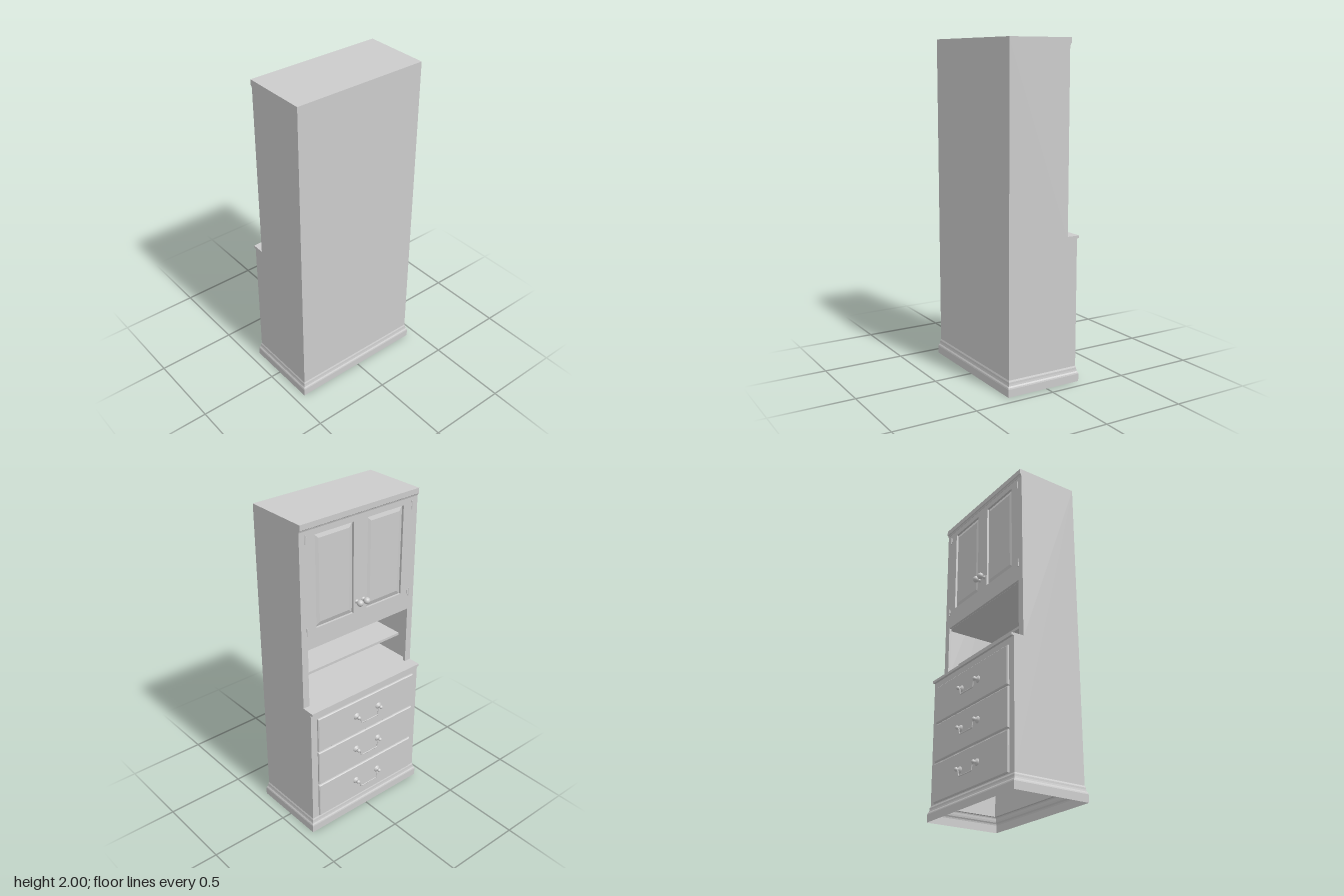
import * as THREE from 'three';

const mat = new THREE.MeshStandardMaterial({ color: 0xcccccc });
const sheetMat = new THREE.MeshStandardMaterial({ color: 0xcccccc, side: THREE.DoubleSide });

const W = 0.423, BACK = 0.246, UPPER = -0.146, LOWER = -0.212, WALL = 0.016;

function add(parent, name, geo, x = 0, y = 0, z = 0, material = mat) {
  const m = new THREE.Mesh(geo, material);
  m.name = name;
  m.position.set(x, y, z);
  parent.add(m);
  return m;
}

// Box given by its extents
function block(parent, name, x0, x1, y0, y1, z0, z1) {
  return add(parent, name, new THREE.BoxGeometry(x1 - x0, y1 - y0, z1 - z0),
    (x0 + x1) / 2, (y0 + y1) / 2, (z0 + z1) / 2);
}

const outline = (Type, pts) => new Type(pts.map(([a, b]) => new THREE.Vector2(a, b)));
const rect = (Type, x0, x1, y0, y1) => outline(Type, [[x0, y0], [x1, y0], [x1, y1], [x0, y1]]);

// Extrudes a [z, y] profile along x, starting at x = 0
function alongX(profile, length) {
  const shape = outline(THREE.Shape, profile.map(([z, y]) => [-z, y]));
  return new THREE.ExtrudeGeometry(shape, { depth: length, bevelEnabled: false }).rotateY(Math.PI / 2);
}

// Rectangular slab with chamfered edges, w and h being the outer size
function chamferedSlab(w, h, depth, size, thickness) {
  return new THREE.ExtrudeGeometry(rect(THREE.Shape, -w / 2, w / 2, -h / 2, h / 2), {
    depth, bevelEnabled: true, bevelSegments: 1,
    bevelSize: size, bevelOffset: -size, bevelThickness: thickness,
  });
}

// Turned part whose axis points out of the furniture's face (-z)
const turned = (pts) => new THREE.LatheGeometry(
  pts.map(([r, h]) => new THREE.Vector2(r, h)), 24).rotateX(-Math.PI / 2);

// Plinth moulding: mitred rectangular loops stacked up a profile of [offset, height]
function plinthGeometry() {
  const profile = [[0.014, 0], [0.014, 0.046], [0.012, 0.054], [0.007, 0.062],
    [0.005, 0.072], [0.004, 0.084], [0, 0.094]];
  const pos = [];
  const corners = (o, y) => [[-W - o, y, LOWER - o], [-W - o, y, BACK + o],
    [W + o, y, BACK + o], [W + o, y, LOWER - o]];
  for (let i = 0; i < profile.length - 1; i++) {
    const a = corners(...profile[i]), b = corners(...profile[i + 1]);
    for (let k = 0; k < 4; k++) {
      const n = (k + 1) % 4;
      pos.push(...a[k], ...a[n], ...b[n], ...a[k], ...b[n], ...b[k]);
    }
  }
  const g = new THREE.BufferGeometry();
  g.setAttribute('position', new THREE.Float32BufferAttribute(pos, 3));
  g.computeVertexNormals();
  return g;
}

// Drop handle: two rosettes with ball posts and a hanging bail
function dropHandle() {
  const g = new THREE.Group();
  g.name = 'drawerHandle';
  const post = turned([[0.021, 0], [0.02, 0.003], [0.014, 0.009], [0.007, 0.012], [0.006, 0.016]]);
  for (const s of [-1, 1]) {
    add(g, 'handleRosette', post, s * 0.088, 0, 0);
    add(g, 'handleBall', new THREE.SphereGeometry(0.012, 20, 14), s * 0.088, 0, -0.024);
  }
  const path = new THREE.CurvePath();
  const pts = [[-0.088, 0], [-0.072, -0.012], [-0.066, -0.042], [-0.056, -0.046],
    [0.056, -0.046], [0.066, -0.042], [0.072, -0.012], [0.088, 0]]
    .map(([x, y]) => new THREE.Vector3(x, y, -0.022));
  for (let i = 0; i < pts.length - 1; i++) path.add(new THREE.LineCurve3(pts[i], pts[i + 1]));
  add(g, 'handleBail', new THREE.TubeGeometry(path, 80, 0.0035, 8));
  return g;
}

export function createModel() {
  const root = new THREE.Group();
  root.name = 'hutchCabinet';

  // Carcass: stepped side walls, back and top
  const side = [[BACK, 0.09], [BACK, 2], [UPPER, 2], [UPPER, 0.87], [LOWER, 0.87], [LOWER, 0.09]];
  const sideGeo = alongX(side, WALL);
  add(root, 'rightSide', sideGeo, -W);
  add(root, 'leftSide', sideGeo, W - WALL);
  const inner = W - WALL;
  block(root, 'backPanel', -inner, inner, 0.09, 2, BACK - WALL, BACK);
  block(root, 'topPanel', -inner, inner, 1.98, 2, UPPER, BACK - WALL);

  // Counter, cupboard floor and open shelf
  block(root, 'counter', -inner, inner, 0.864, 0.88, UPPER, BACK - WALL);
  block(root, 'counterEdge', -W, W, 0.864, 0.88, -0.227, UPPER);
  block(root, 'cupboardFloor', -inner, inner, 1.25, 1.266, UPPER + WALL, BACK - WALL);
  block(root, 'openShelf', -inner, inner, 1.018, 1.034, -0.055, BACK - WALL);

  // Cornice
  add(root, 'cornice', alongX([[UPPER, 1.955], [UPPER, 2], [-0.157, 2], [-0.157, 1.968],
    [-0.152, 1.964], [-0.149, 1.955]], 2 * W), -W);

  // Upper face with two panel recesses and the open niche
  const PX0 = 0.05, PX1 = 0.318, PY0 = 1.37, PY1 = 1.92, STILE = 0.38;
  const face = outline(THREE.Shape, [[-W, 0.88], [-STILE, 0.88], [-STILE, 1.25], [STILE, 1.25],
    [STILE, 0.88], [W, 0.88], [W, 1.98], [-W, 1.98]]);
  face.holes.push(rect(THREE.Path, PX0, PX1, PY0, PY1), rect(THREE.Path, -PX1, -PX0, PY0, PY1));
  add(root, 'upperFace', new THREE.ExtrudeGeometry(face, { depth: WALL, bevelEnabled: false }), 0, 0, UPPER - 0.001);

  // Raised door panels, knobs and hinges
  const panelGeo = chamferedSlab(PX1 - PX0, PY1 - PY0, 0.002, 0.028, 0.01);
  const knobGeo = turned([[0.013, 0], [0.012, 0.003], [0.007, 0.006], [0.007, 0.014]]);
  for (const s of [-1, 1]) {
    add(root, 'doorPanel', panelGeo, s * (PX0 + PX1) / 2, (PY0 + PY1) / 2, UPPER + 0.013);
    add(root, 'knobStem', knobGeo, s * 0.025, 1.435, UPPER - 0.001);
    add(root, 'knob', new THREE.SphereGeometry(0.02, 28, 18), s * 0.025, 1.435, -0.177);
    for (const y of [1.363, 1.907]) {
      block(root, 'hingePlate', s * 0.376 - 0.007, s * 0.376 + 0.007, y - 0.014, y + 0.014, UPPER - 0.003, UPPER);
      add(root, 'hingeBarrel', new THREE.CylinderGeometry(0.004, 0.004, 0.05, 12), s * 0.382, y, UPPER - 0.002);
    }
  }

  // Lower face with three drawer fronts
  block(root, 'lowerFace', -inner, inner, 0.09, 0.864, LOWER, LOWER + WALL);
  const drawerGeo = chamferedSlab(0.756, 0.234, 0.008, 0.005, 0.005);
  for (const y of [0.217, 0.462, 0.705]) {
    add(root, 'drawerFront', drawerGeo, 0, y, LOWER - 0.008);
    const handle = dropHandle();
    handle.position.set(0, y + 0.011, LOWER - 0.013);
    root.add(handle);
  }

  // Plinth, open underneath
  add(root, 'plinthMoulding', plinthGeometry(), 0, 0, 0, sheetMat);
  return root;
}
